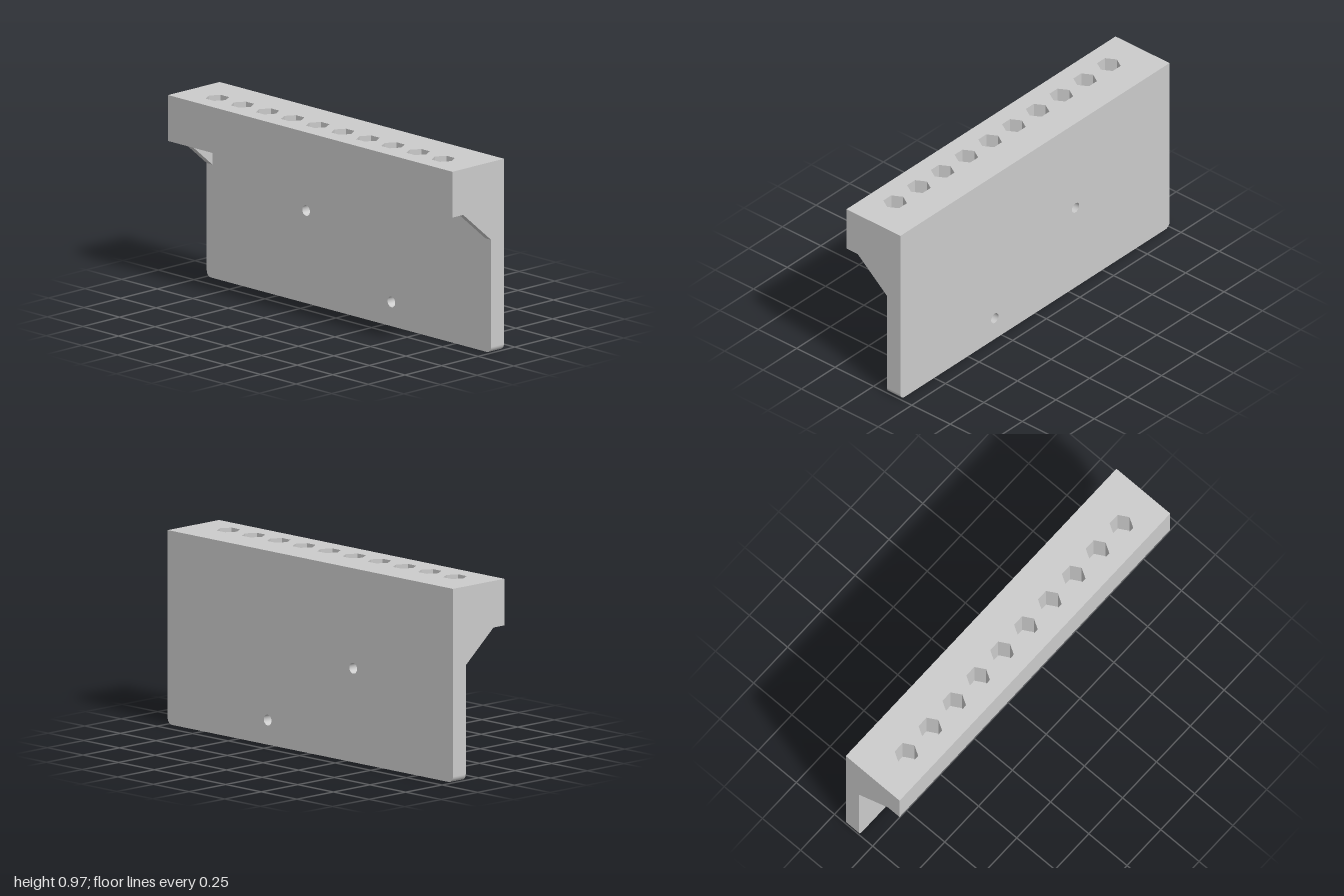
import * as THREE from 'three';

const TOP = 0.97, LEDGE = 0.737, HEEL = 0.575;            // heights
const BACK = -0.176, FACE = -0.088, TOE = 0.102, FRONT = 0.176; // depths
const RIB = 0.04, ROUND = 0.03, HOLE_R = 0.027, HEX_R = 0.059, HEX_Z = 0.039, HEX_DEPTH = 0.195;
const HOLES = [[-0.301, 0.47], [0.299, 0.123]];

export function createModel() {
  const group = new THREE.Group();
  const grey = new THREE.MeshStandardMaterial({ color: 0xcccccc });
  const inner = new THREE.MeshStandardMaterial({ color: 0xcccccc, side: THREE.BackSide });
  const innerFlat = new THREE.MeshStandardMaterial({ color: 0xcccccc, side: THREE.BackSide, flatShading: true });
  const H = Math.PI / 2;

  const add = (name, geometry, material = grey, x = 0, y = 0, z = 0) => {
    const mesh = new THREE.Mesh(geometry, material);
    mesh.name = name;
    mesh.position.set(x, y, z);
    group.add(mesh);
    return mesh;
  };
  const outline = (pts) => new THREE.Shape(pts.map(([x, y]) => new THREE.Vector2(x, y)));
  const panel = (shape) => new THREE.ShapeGeometry(shape, 12);
  const mirrored = (half) => outline([...half, ...half.map(([x, y]) => [-x, y]).reverse()]);

  // Lower part of the plate outline, with rounded corners
  const corner = [];
  for (let i = 0; i <= 8; i++) {
    const a = (i / 8) * H;
    corner.push([1 - ROUND + ROUND * Math.sin(a), ROUND - ROUND * Math.cos(a)]);
  }
  const drill = (shape, sign) => {
    for (const [x, y] of HOLES) {
      const p = new THREE.Path();
      p.absarc(sign * x, y, HOLE_R, 0, Math.PI * 2, true);
      shape.holes.push(p);
    }
    return shape;
  };

  // Plate: back face, front face notched around the end ribs
  add('plateBack', panel(drill(mirrored([...corner, [1, TOP]]), -1)).rotateY(Math.PI), grey, 0, 0, BACK);
  add('plateFront', panel(drill(mirrored([...corner, [1, HEEL], [1 - RIB, HEEL], [1 - RIB, LEDGE]]), 1)), grey, 0, 0, FACE);

  // Plate underside and rounded corners
  const thick = FACE - BACK, mid = (FACE + BACK) / 2;
  add('plateBottom', new THREE.PlaneGeometry(2 - 2 * ROUND, thick).rotateX(H), grey, 0, 0, mid);
  for (const s of [-1, 1]) {
    add('plateCorner', new THREE.CylinderGeometry(ROUND, ROUND, thick, 8, 1, true, s > 0 ? 0 : -H, H).rotateX(H),
      grey, s * (1 - ROUND), ROUND, mid);
  }
  for (const [x, y] of HOLES) {
    add('screwHole', new THREE.CylinderGeometry(HOLE_R, HOLE_R, thick, 48, 1, true).rotateX(H), inner, x, y, mid);
  }

  // Ends: full side profile, plus the rib's inner face and sloping underside
  const profile = [[BACK, ROUND], [FACE, ROUND], [FACE, HEEL], [TOE, LEDGE], [FRONT, LEDGE], [FRONT, TOP], [BACK, TOP]];
  const ribProfile = [[FACE, HEEL], [TOE, LEDGE], [FACE, LEDGE]];
  const facing = (pts, s) => panel(outline(pts.map(([z, y]) => [-s * z, y]))).rotateY(s * H);
  const rise = LEDGE - HEEL, run = TOE - FACE;
  for (const s of [-1, 1]) {
    add('endFace', facing(profile, s), grey, s);
    add('ribInnerFace', facing(ribProfile, -s), grey, s * (1 - RIB));
    add('ribSlope', new THREE.PlaneGeometry(RIB, Math.hypot(rise, run)).rotateX(H - Math.atan2(rise, run)),
      grey, s * (1 - RIB / 2), (HEEL + LEDGE) / 2, (FACE + TOE) / 2);
  }

  // Holder block: front, underside and top pierced by hexagonal pockets
  add('blockFront', new THREE.PlaneGeometry(2, TOP - LEDGE), grey, 0, (TOP + LEDGE) / 2, FRONT);
  const under = mirrored([[1 - RIB, FACE], [1 - RIB, TOE], [1, TOE], [1, FRONT]]);
  add('blockUnderside', panel(under).rotateX(H), grey, 0, LEDGE);

  const top = mirrored([[1, -FRONT], [1, -BACK]]);
  for (let i = 0; i < 10; i++) {
    const x = (i - 4.5) * 0.1765;
    const hex = [];
    for (let k = 0; k < 6; k++) {
      const a = (k * Math.PI) / 3;
      hex.push(new THREE.Vector2(x + HEX_R * Math.cos(a), -HEX_Z + HEX_R * Math.sin(a)));
    }
    top.holes.push(new THREE.Path(hex));
    add('pocketWall', new THREE.CylinderGeometry(HEX_R, HEX_R, HEX_DEPTH, 6, 1, true, H),
      innerFlat, x, TOP - HEX_DEPTH / 2, HEX_Z);
    add('pocketFloor', new THREE.CircleGeometry(HEX_R, 6).rotateX(-H), grey, x, TOP - HEX_DEPTH, HEX_Z);
  }
  add('blockTop', panel(top).rotateX(-H), grey, 0, TOP);

  return group;
}
